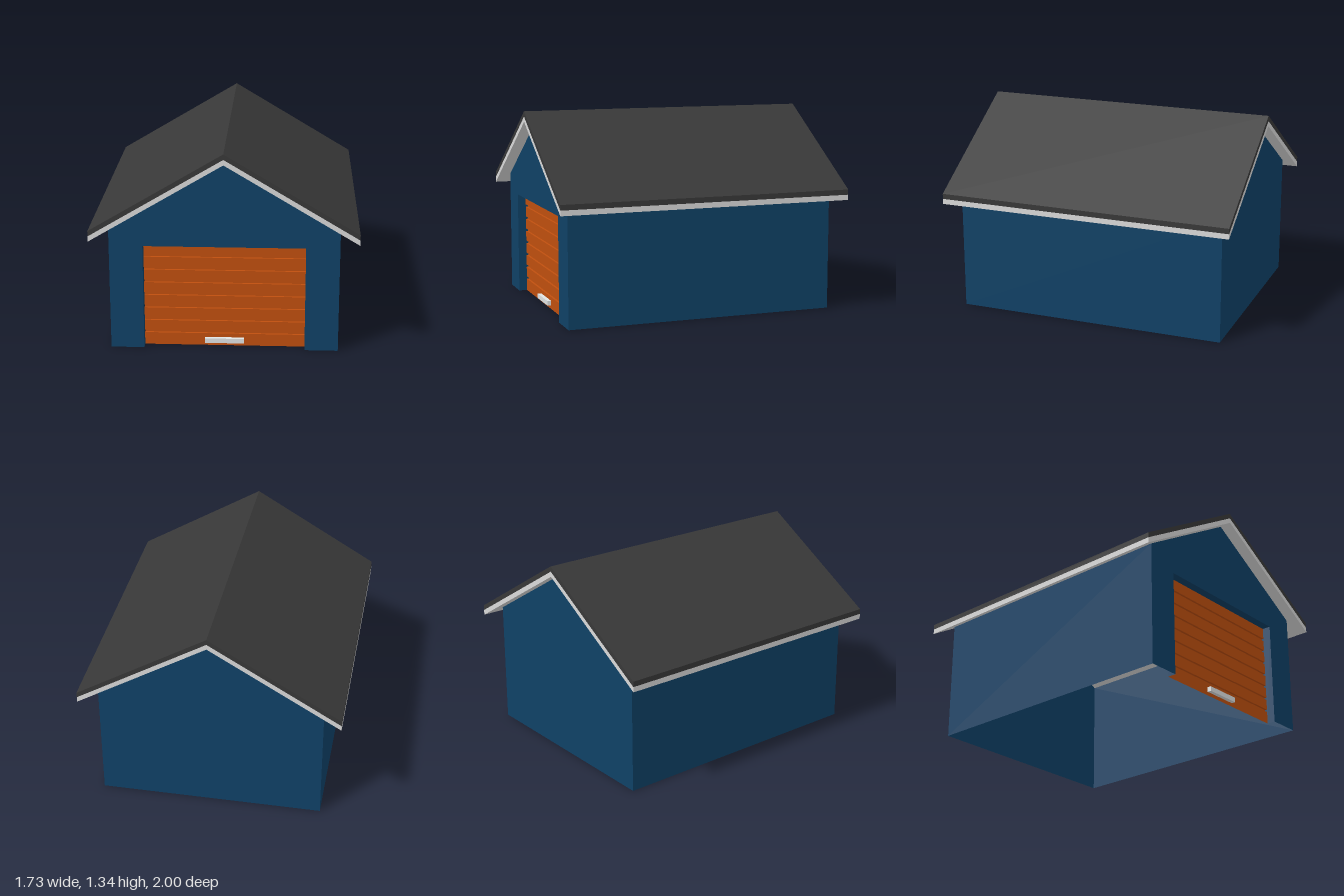
import * as THREE from 'three';

const mat = (name, color, side = THREE.FrontSide) => {
  const m = new THREE.MeshStandardMaterial({ color, side });
  m.name = name;
  return m;
};

// Main dimensions
const W = 0.742, D = 0.92;            // half width and half depth of the walls
const EAVE_X = 0.863, ROOF_Z = 1;     // half width and half depth of the roof
const SLOPE = 0.597;
const RIDGE = 1.344, LAYER = 0.0355;  // ridge height, vertical thickness per roof layer
const DOOR_W = 0.525, DOOR_H = 0.705, DOOR_Z = 0.863;

export function createModel() {
  const wall = mat('blue wall', 0x0f4166, THREE.DoubleSide);
  const shingle = mat('dark roof', 0x383838);
  const trim = mat('light trim', 0xd9d9d9);
  const orange = mat('orange door', 0xbf4f0e, THREE.DoubleSide);
  const metal = mat('handle metal', 0xe0e3e3);

  const group = new THREE.Group();
  group.name = 'garage';
  const add = (name, geometry, material, x = 0, y = 0, z = 0) => {
    const mesh = new THREE.Mesh(geometry, material);
    mesh.name = name;
    mesh.position.set(x, y, z);
    group.add(mesh);
    return mesh;
  };
  const shapeOf = (pts) => new THREE.Shape(pts.map(([x, y]) => new THREE.Vector2(x, y)));

  // Gable walls: thin sheets, the front one notched for the door
  const peak = RIDGE - 2 * LAYER;
  const wallTop = peak - W * SLOPE;
  const gable = [[W, 0], [W, wallTop], [0, peak], [-W, wallTop], [-W, 0]];
  const notch = [[-DOOR_W, 0], [-DOOR_W, DOOR_H], [DOOR_W, DOOR_H], [DOOR_W, 0]];
  add('frontWall', new THREE.ShapeGeometry(shapeOf([...gable, ...notch])), wall, 0, 0, D);
  add('backWall', new THREE.ShapeGeometry(shapeOf(gable)), wall, 0, 0, -D).rotation.y = Math.PI;

  // Side walls and door jambs
  const reveal = D - DOOR_Z;
  for (const s of [1, -1]) {
    const side = s > 0 ? 'left' : 'right';
    add(side + 'Wall', new THREE.PlaneGeometry(2 * D, wallTop), wall, s * W, wallTop / 2, 0)
      .rotation.y = s * Math.PI / 2;
    add(side + 'DoorJamb', new THREE.PlaneGeometry(reveal, DOOR_H), wall,
      s * DOOR_W, DOOR_H / 2, D - reveal / 2).rotation.y = -s * Math.PI / 2;
  }
  add('doorLintel', new THREE.PlaneGeometry(2 * DOOR_W, reveal), wall, 0, DOOR_H, D - reveal / 2)
    .rotation.x = Math.PI / 2;

  // Roof: two stacked chevron layers with vertical eave ends
  const chevron = (ridge) => {
    const eave = ridge - EAVE_X * SLOPE;
    const shape = shapeOf([
      [0, ridge], [-EAVE_X, eave], [-EAVE_X, eave - LAYER],
      [0, ridge - LAYER], [EAVE_X, eave - LAYER], [EAVE_X, eave],
    ]);
    return new THREE.ExtrudeGeometry(shape, { depth: 2 * ROOF_Z, bevelEnabled: false });
  };
  add('roofCovering', chevron(RIDGE), shingle, 0, 0, -ROOF_Z);
  add('roofFascia', chevron(RIDGE - LAYER), trim, 0, 0, -ROOF_Z);

  // Door: one folded sheet with seven horizontal box grooves
  const profile = [[0, 0]];
  for (let i = 0; i < 7; i++) {
    const y = 0.092 + i * 0.0882, h = 0.009, d = -0.015;
    profile.push([y - h, 0], [y - h, d], [y + h, d], [y + h, 0]);
  }
  profile.push([DOOR_H, 0]);
  const pos = [];
  for (let i = 0; i < profile.length - 1; i++) {
    const [y0, z0] = profile[i], [y1, z1] = profile[i + 1];
    const a = [-DOOR_W, y0, z0], b = [DOOR_W, y0, z0], c = [DOOR_W, y1, z1], e = [-DOOR_W, y1, z1];
    pos.push(...a, ...b, ...c, ...a, ...c, ...e);
  }
  const doorGeometry = new THREE.BufferGeometry();
  doorGeometry.setAttribute('position', new THREE.Float32BufferAttribute(pos, 3));
  doorGeometry.computeVertexNormals();
  add('garageDoor', doorGeometry, orange, 0, 0, DOOR_Z);

  // Pull handle, passing just through the door sheet
  add('doorHandle', new THREE.BoxGeometry(0.256, 0.032, 0.03), metal, 0, 0.041, DOOR_Z + 0.011);

  return group;
}
